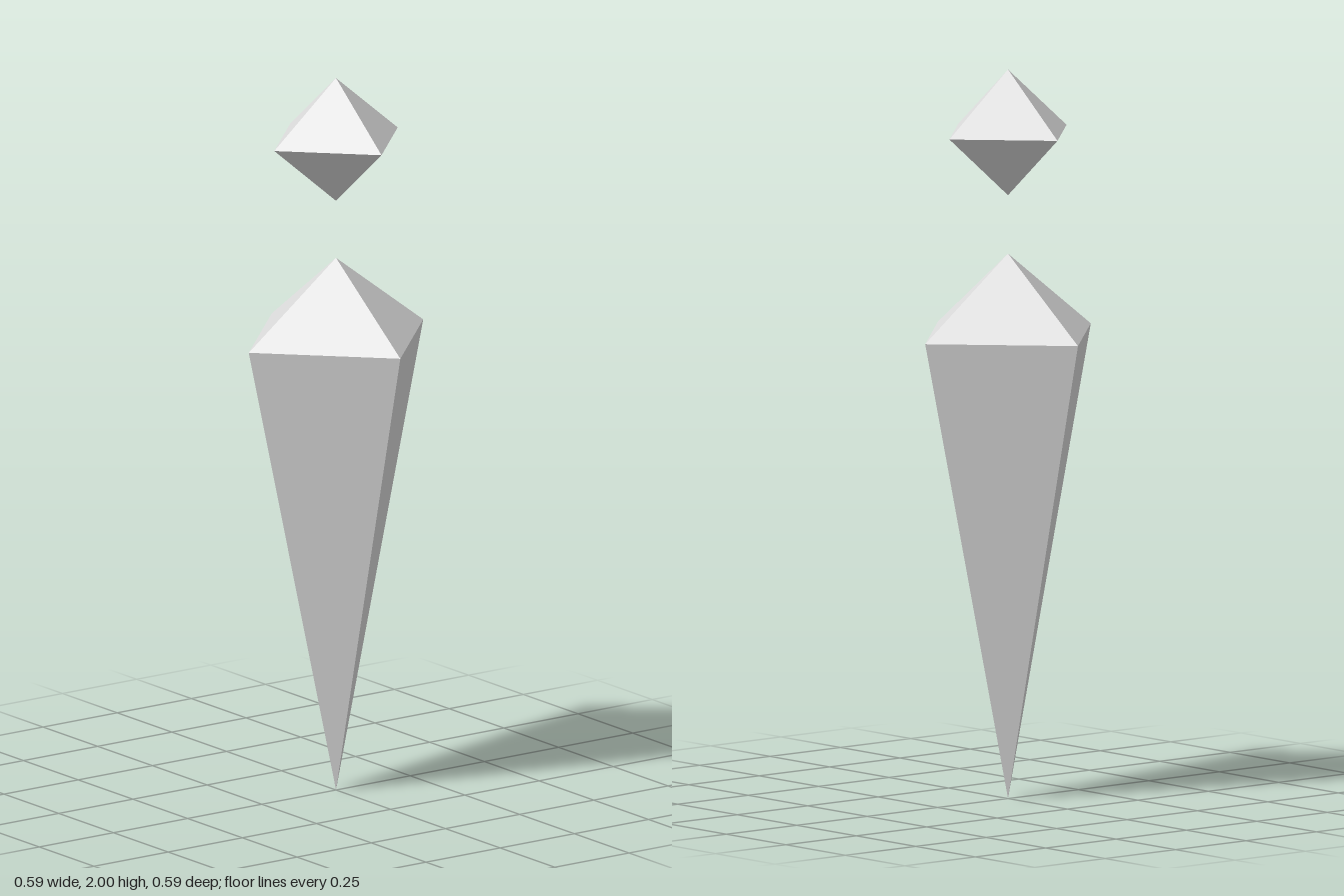
import * as THREE from 'three';

// Four-sided crystal: an octahedron with its own top, girdle and bottom heights
function crystal(radius, bottom, girdle, top) {
  const geometry = new THREE.OctahedronGeometry(1).toNonIndexed();
  const p = geometry.attributes.position;
  for (let i = 0; i < p.count; i++) {
    const y = p.getY(i);
    const height = y > 0 ? top - girdle : girdle - bottom;
    p.setXYZ(i, p.getX(i) * radius, girdle + y * height, p.getZ(i) * radius);
  }
  geometry.computeVertexNormals(); // unshared corners keep the facets flat
  return geometry;
}

export function createModel() {
  const group = new THREE.Group();
  group.name = 'floatingCrystals';
  const paleGrey = new THREE.MeshStandardMaterial({ color: 0xdddddd });
  paleGrey.name = 'paleGrey';

  // Long tapering spike below, small gem hovering above
  const parts = [
    ['spike', 0.294, 0, 1.275, 1.495],
    ['gem', 0.208, 1.655, 1.828, 2],
  ];
  for (const [name, ...size] of parts) {
    const mesh = new THREE.Mesh(crystal(...size), paleGrey);
    mesh.name = name;
    group.add(mesh);
  }
  return group;
}
